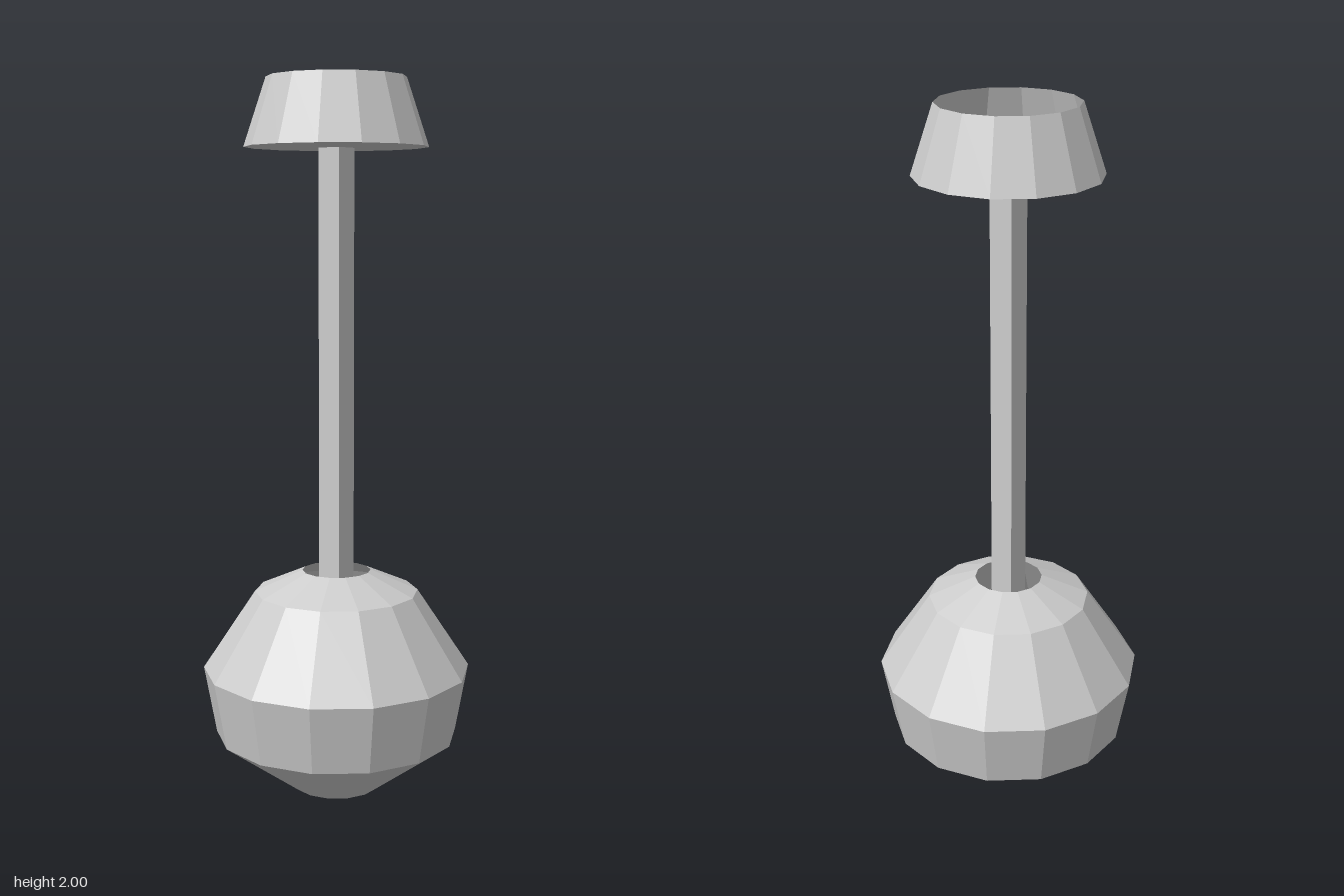
import * as THREE from 'three';

const SIDES = 14;

export function createModel() {
  const group = new THREE.Group();
  const grey = new THREE.MeshStandardMaterial({ color: 0xcccccc, flatShading: true, side: THREE.DoubleSide });
  grey.name = 'light grey';

  const add = (name, geometry) => {
    const mesh = new THREE.Mesh(geometry, grey);
    mesh.name = name;
    group.add(mesh);
    return mesh;
  };

  // Faceted open shell with a corner on the x axis; profile is [radius, height] from the bottom up
  const shell = (profile) => new THREE.LatheGeometry(
    profile.map(([r, y]) => new THREE.Vector2(r, y)), SIDES, Math.PI / 2);

  // Hollow bulb with a flat base and an open neck
  add('bulb', shell([[0, 0], [0.125, 0], [0.345, 0.16], [0.38, 0.352], [0.232, 0.575], [0.097, 0.635]]));

  // Square stem standing inside the bulb and carrying the cup
  const bottom = 0.005, top = 1.812;
  add('stem', new THREE.BoxGeometry(0.07, top - bottom, 0.07)).position.y = (top + bottom) / 2;

  // Tapered cup, floor at the bottom and open at the top
  add('cup', shell([[0, 1.814], [0.253, 1.814], [0.191, 2]]));

  return group;
}
